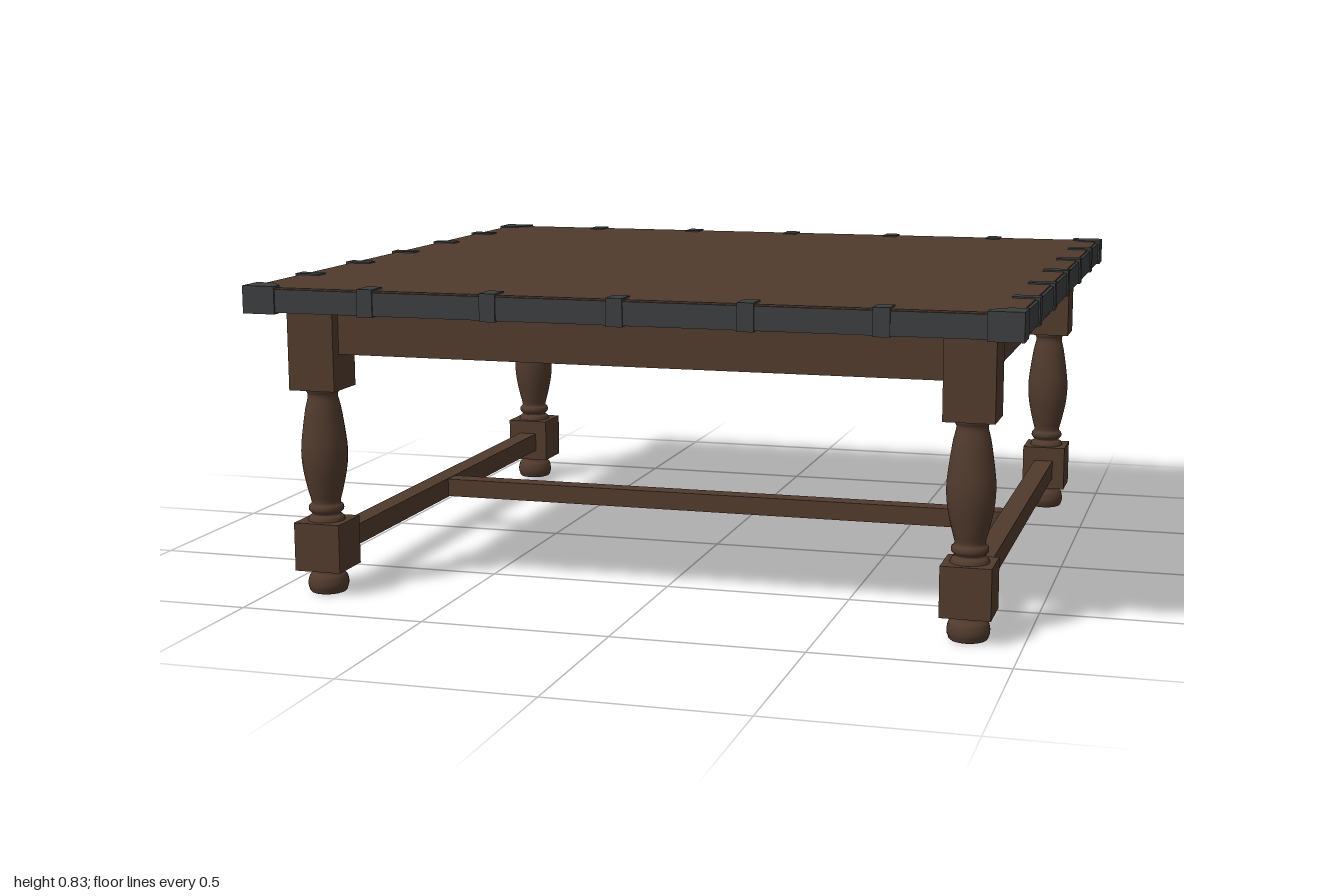
import * as THREE from 'three';

const wood = new THREE.MeshStandardMaterial({ color: 0x503a2d });
wood.name = 'dark wood';
const iron = new THREE.MeshStandardMaterial({ color: 0x3b3d3e });
iron.name = 'dark iron';

const HX = 1, HZ = 0.94;          // outer half size of the top
const LEG_X = 0.86, LEG_Z = 0.785; // leg centres
const TOP_LOW = 0.77, TOP_HIGH = 0.834;

// Box given by its lower and upper corners
function box(parent, name, material, [x0, y0, z0], [x1, y1, z1]) {
  const mesh = new THREE.Mesh(new THREE.BoxGeometry(x1 - x0, y1 - y0, z1 - z0), material);
  mesh.position.set((x0 + x1) / 2, (y0 + y1) / 2, (z0 + z1) / 2);
  mesh.name = name;
  parent.add(mesh);
  return mesh;
}

// Turned part from [radius, height] control points, smoothed by a spline
function turned(parent, name, profile) {
  const curve = new THREE.SplineCurve(profile.map(([r, y]) => new THREE.Vector2(r, y)));
  const mesh = new THREE.Mesh(new THREE.LatheGeometry(curve.getPoints(36), 24), wood);
  mesh.name = name;
  parent.add(mesh);
}

function makeLeg(x, z) {
  const leg = new THREE.Group();
  leg.name = 'leg';
  leg.position.set(x, 0, z);
  const w = 0.064;
  box(leg, 'upperBlock', wood, [-w, 0.555, -w], [w, TOP_LOW, w]);
  box(leg, 'lowerBlock', wood, [-w, 0.07, -w], [w, 0.2, w]);
  turned(leg, 'baluster', [
    [0.05, 0.198], [0.046, 0.21], [0.037, 0.217], [0.046, 0.228], [0.045, 0.24], [0.038, 0.249],
    [0.047, 0.285], [0.058, 0.34], [0.061, 0.39], [0.056, 0.44], [0.047, 0.5],
    [0.039, 0.535], [0.044, 0.548], [0.045, 0.557],
  ]);
  turned(leg, 'bunFoot', [
    [0.0, 0.004], [0.042, 0.004], [0.051, 0.015], [0.054, 0.03], [0.05, 0.048], [0.041, 0.06], [0.041, 0.072],
  ]);
  return leg;
}

// Iron corner bracket with a chamfered inner corner
function makeCorner(sx, sz) {
  const s = new THREE.Shape();
  const pts = [[HX, HZ], [HX - 0.088, HZ], [HX - 0.088, HZ - 0.035], [HX - 0.045, HZ - 0.08], [HX, HZ - 0.08]];
  const signed = pts.map(([x, z]) => new THREE.Vector2(x * sx, -z * sz));
  s.setFromPoints(signed);
  const geometry = new THREE.ExtrudeGeometry(s, { depth: 0.072, bevelEnabled: false });
  geometry.rotateX(-Math.PI / 2);
  const mesh = new THREE.Mesh(geometry, iron);
  mesh.position.y = 0.766;
  mesh.name = 'cornerBracket';
  return mesh;
}

export function createModel() {
  const table = new THREE.Group();
  table.name = 'table';

  // Top board
  const bx = HX - 0.013, bz = HZ - 0.013;
  box(table, 'tableTop', wood, [-bx, TOP_LOW, -bz], [bx, TOP_HIGH, bz]);

  for (const s of [-1, 1]) {
    // Iron bands around the edge
    const zc = s * (HZ - 0.009), xc = s * (HX - 0.009);
    box(table, 'edgeBand', iron, [-HX + 0.005, TOP_LOW, zc - 0.004], [HX - 0.005, 0.83, zc + 0.004]);
    box(table, 'edgeBand', iron, [xc - 0.004, TOP_LOW, -HZ + 0.005], [xc + 0.004, 0.83, HZ - 0.005]);

    // Clips wrapping the edge at even spacing
    for (let i = -2; i <= 2; i++) {
      const x = i * 0.331, z = i * 0.312, h = 0.021;
      const zm = s * (HZ - 0.034), xm = s * (HX - 0.036);
      box(table, 'edgeClip', iron, [x - h, 0.767, zm - 0.033], [x + h, 0.838, zm + 0.033]);
      box(table, 'edgeClip', iron, [xm - 0.035, 0.767, z - h], [xm + 0.035, 0.838, z + h]);
    }

    // Aprons between the upper leg blocks
    const t = 0.03;
    box(table, 'apron', wood, [-LEG_X, 0.65, s * LEG_Z - t], [LEG_X, TOP_LOW, s * LEG_Z + t]);
    box(table, 'apron', wood, [s * LEG_X - t, 0.65, -LEG_Z], [s * LEG_X + t, TOP_LOW, LEG_Z]);

    // Side stretchers
    box(table, 'sideStretcher', wood, [s * LEG_X - 0.028, 0.102, -LEG_Z], [s * LEG_X + 0.028, 0.158, LEG_Z]);

    for (const sz of [-1, 1]) {
      table.add(makeLeg(s * LEG_X, sz * LEG_Z));
      table.add(makeCorner(s, sz));
    }
  }

  // Long stretcher joining the two side stretchers
  box(table, 'middleStretcher', wood, [-LEG_X, 0.104, -0.028], [LEG_X, 0.156, 0.028]);

  return table;
}
